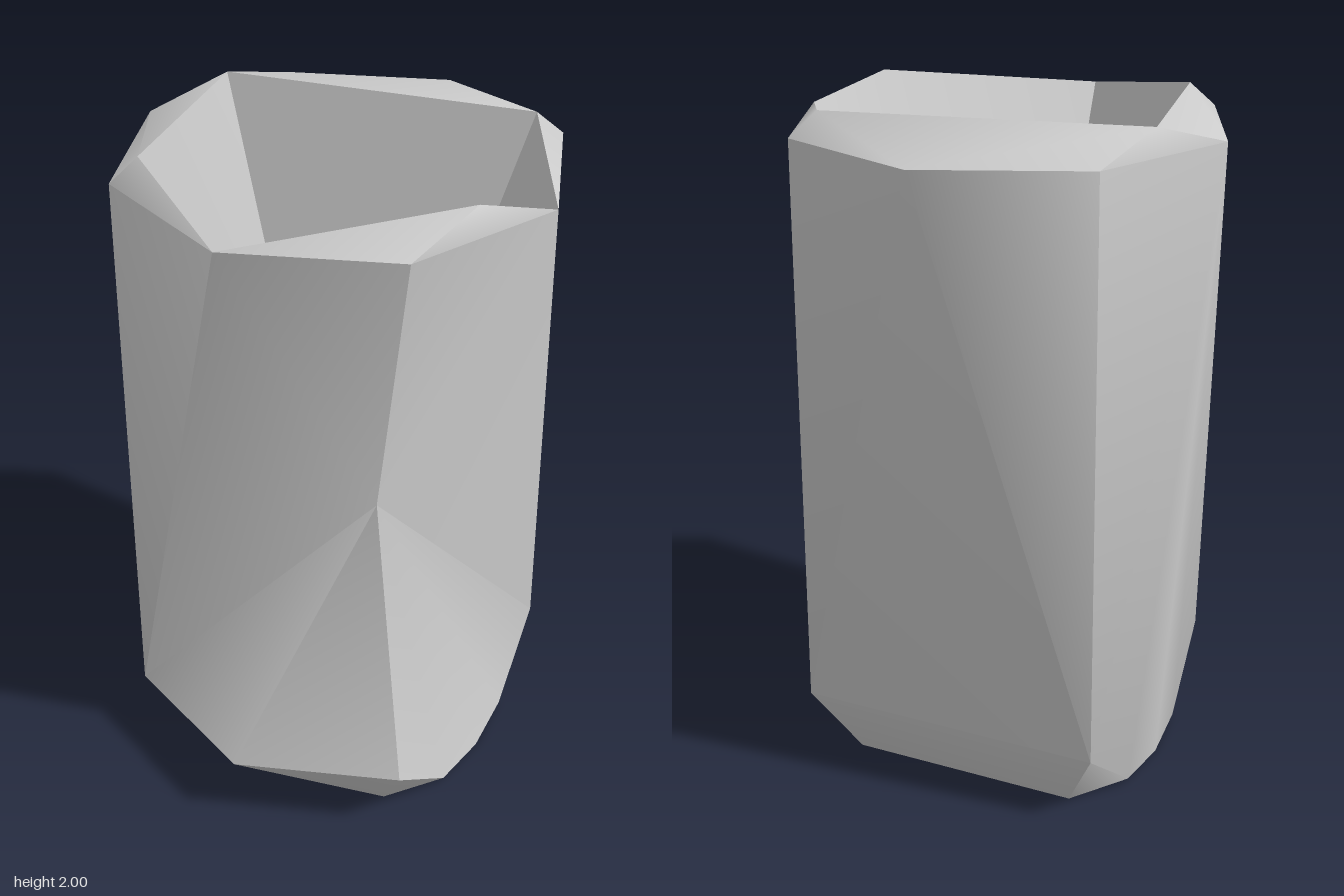
import * as THREE from 'three';
import { toCreasedNormals } from 'three/addons/utils/BufferGeometryUtils.js';

const v = (x, y, z) => new THREE.Vector3(x, y, z);

// Builds a mesh from polygons (fanned from their first corner), wound to face
// away from the given point, or towards it when inward is set.
function facetMesh(name, polygons, centre, inward, crease) {
  const points = [];
  for (const p of polygons) {
    for (let i = 1; i < p.length - 1; i++) {
      const tri = [p[0], p[i], p[i + 1]];
      const normal = tri[1].clone().sub(tri[0]).cross(tri[2].clone().sub(tri[0]));
      const mid = tri[0].clone().add(tri[1]).add(tri[2]).divideScalar(3).sub(centre);
      if ((normal.dot(mid) < 0) !== inward) tri.reverse();
      points.push(...tri);
    }
  }
  const geometry = toCreasedNormals(new THREE.BufferGeometry().setFromPoints(points), crease);
  const mesh = new THREE.Mesh(geometry, new THREE.MeshStandardMaterial({ color: 0xcccccc }));
  mesh.name = name;
  return mesh;
}

export function createModel() {
  const group = new THREE.Group();
  group.name = 'facetedCup';

  // Upper octagon, counted from +x towards +z
  const top = [];
  for (let i = 0; i < 8; i++) {
    const a = (i * Math.PI) / 4;
    top.push(v(0.635 * Math.cos(a), 1.93, 0.637 * Math.sin(a) - 0.006));
  }
  const [right, frontRight, front, frontLeft, left, backLeft, back, backRight] = top;

  // Lower corners and foot corners
  const low = (sx, sz) => v(0.46 * sx, 0.22, 0.46 * sz - 0.005);
  const foot = (sx, sz) => v(0.35 * sx, 0, 0.35 * sz - 0.005);
  const side = (sx, sz) => v(0.48 * sx, 0.015, 0.2 * sz - 0.005);
  const edge = (sx) => v(0.495 * sx, 0, -0.005);
  const pinch = v(0.27, 1.04, 0.27);
  const lip = v(0, 0.22, 0.643);

  const walls = [
    // back wall and its chamfer
    [back, low(1, -1), low(-1, -1)],
    [low(1, -1), low(-1, -1), foot(-1, -1), foot(1, -1)],
    // plain corners
    [backRight, back, low(1, -1)], [backRight, right, low(1, -1)],
    [backLeft, back, low(-1, -1)], [backLeft, left, low(-1, -1)],
    [frontLeft, left, low(-1, 1)], [frontLeft, front, low(-1, 1)],
    // left wall
    [left, low(-1, 1), side(-1, 1), edge(-1), side(-1, -1), low(-1, -1)],
    // right wall, drawn in to the pinched corner
    [pinch, frontRight, right, low(1, -1), side(1, -1), edge(1), side(1, 1), low(1, 1)],
    // pinched front face
    [front, low(-1, 1), pinch], [front, pinch, frontRight],
    // projecting front lip
    [pinch, low(-1, 1), lip], [pinch, lip, low(1, 1)],
    [lip, low(-1, 1), foot(-1, 1)], [lip, foot(-1, 1), foot(1, 1)],
    [lip, foot(1, 1), low(1, 1)],
  ];

  // Small corner chamfers
  for (const s of [1, -1]) {
    for (const z of [1, -1]) walls.push([low(s, z), side(s, z), foot(s, z)]);
  }

  // Underside
  const base = [v(0, 0, 0)];
  for (const s of [1, -1]) {
    base.push(foot(s, s), side(s, s), edge(s), side(s, -s), foot(s, -s));
  }
  base.push(base[1]);
  walls.push(base);

  // Raised inner points of the rim
  const p0 = v(0.51, 2, 0.2), p1 = v(0.39, 2, -0.4);
  const p2 = v(-0.51, 2, -0.22), p3 = v(-0.39, 2, 0.39);
  const rim = [
    [p0, front, frontRight, right],
    [p1, right, backRight, back, p2],
    [p2, back, backLeft, left, p3],
    [p3, left, frontLeft, front],
  ];

  // Hollow tapering to one deep point
  const deep = v(0, 0.42, -0.006);
  const cavity = [[deep, right, p0, front], [deep, front, p3, p2], [deep, p2, p1], [deep, p1, right]];

  group.add(facetMesh('outerShell', [...walls, ...rim], v(0, 1, 0), false, 0.8));
  group.add(facetMesh('cavity', cavity, v(0, 1.7, 0), true, 0.8));
  return group;
}
